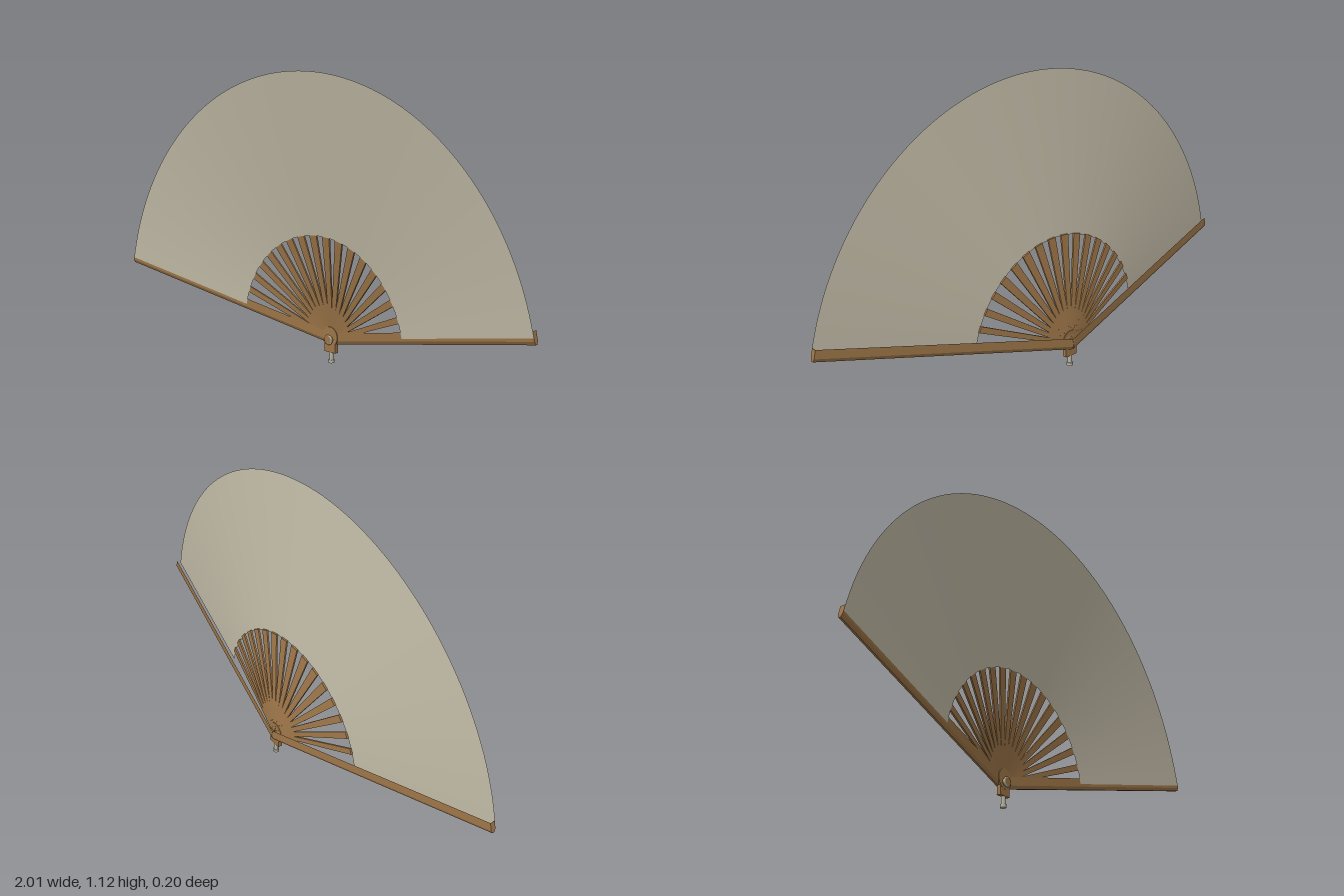
import * as THREE from 'three';

const PIVOT_Y = 0.093, APEX_Z = -0.08, SLOPE = 0.175;
const INNER = 0.41, OUTER = 1.024, EDGE = 0.215; // EDGE: angle of the guard sticks

// Stick lofted outward from the pivot along the shallow cone.
// section: [across, depth] points; side -1 mirrors it; open leaves the last edge out.
function stick(section, angle, r0, r1, scale0, scale1, side = 1, open = false) {
  const c = Math.cos(angle), s = Math.sin(angle), n = section.length, out = [];
  const at = (i, r, k) => {
    const [v, w] = section[i % n], t = v * k * side;
    return [r * c - t * s, PIVOT_Y + r * s + t * c, APEX_Z + SLOPE * r + w];
  };
  const tri = (a, b, d) => out.push(...a, ...(side > 0 ? b : d), ...(side > 0 ? d : b));
  for (let i = 0; i < (open ? n - 1 : n); i++) {
    const a = at(i, r0, scale0), b = at(i + 1, r0, scale0);
    const d = at(i + 1, r1, scale1), e = at(i, r1, scale1);
    tri(a, b, d);
    tri(a, d, e);
  }
  for (let i = 1; i < n - 1; i++) {
    tri(at(0, r1, scale1), at(i, r1, scale1), at(i + 1, r1, scale1));
    tri(at(0, r0, scale0), at(i + 1, r0, scale0), at(i, r0, scale0));
  }
  const g = new THREE.BufferGeometry();
  g.setAttribute('position', new THREE.Float32BufferAttribute(out, 3));
  g.computeVertexNormals();
  return g;
}

export function createModel() {
  const group = new THREE.Group();
  const material = (name, color, side = THREE.FrontSide) => {
    const m = new THREE.MeshStandardMaterial({ color, side });
    m.name = name;
    return m;
  };
  const paper = material('paper', 0xc0b9a5, THREE.DoubleSide);
  const wood = material('wood', 0x9c7548);
  const metal = material('metal', 0xb9b4a2);
  const add = (name, geometry, mat, x = 0, y = 0, z = 0) => {
    const m = new THREE.Mesh(geometry, mat);
    m.name = name;
    m.position.set(x, y, z);
    group.add(m);
    return m;
  };

  // Fan leaf: a ring sector bent into a shallow cone
  const leaf = new THREE.RingGeometry(INNER, OUTER, 72, 2, EDGE, Math.PI - 2 * EDGE);
  const p = leaf.attributes.position;
  for (let i = 0; i < p.count; i++) {
    const r = Math.hypot(p.getX(i), p.getY(i));
    p.setXYZ(i, p.getX(i), p.getY(i) + PIVOT_Y, APEX_Z + SLOPE * r);
  }
  leaf.computeVertexNormals();
  add('leaf', leaf, paper);

  // Guard sticks with rounded lower edges, open where they take the leaf
  const guard = [[0.022, 0], [-0.01, 0], [-0.022, -0.006], [-0.022, -0.014], [-0.01, -0.02], [0.022, -0.02]];
  add('leftGuard', stick(guard, EDGE, 0, OUTER, 1, 1, 1, true), wood);
  add('rightGuard', stick(guard, Math.PI - EDGE, 0, OUTER, 1, 1, -1, true), wood);

  // Ribs between the guards
  const rib = [[1, -0.001], [-1, -0.001], [-1, -0.008], [1, -0.008]];
  const ribs = 16;
  for (let i = 1; i <= ribs; i++) {
    const a = EDGE + (Math.PI - 2 * EDGE) * i / (ribs + 1);
    const half = 0.009 + 0.009 * Math.sin(a);
    add('rib', stick(rib, a, 0, INNER + 0.004, 0.007, half), wood);
  }

  // Hub and holder block
  const disc = (r, h) => new THREE.CylinderGeometry(r, r, h, 24).rotateX(Math.PI / 2);
  add('hub', disc(0.038, 0.012), wood, 0, 0.105, -0.076);
  add('holder', new THREE.BoxGeometry(0.055, 0.062, 0.016), wood, 0, 0.073, -0.079);
  add('rivet', disc(0.016, 0.014), wood, 0, 0.093, -0.065);
  add('rivetRing', new THREE.TorusGeometry(0.016, 0.004, 8, 24), metal, 0, 0.093, -0.062);

  // Pin below the holder
  add('pin', new THREE.CylinderGeometry(0.008, 0.008, 0.042, 16), metal, 0, 0.027, -0.079);
  add('pinFoot', new THREE.CylinderGeometry(0.012, 0.012, 0.012, 16), metal, 0, 0.006, -0.079);
  return group;
}
